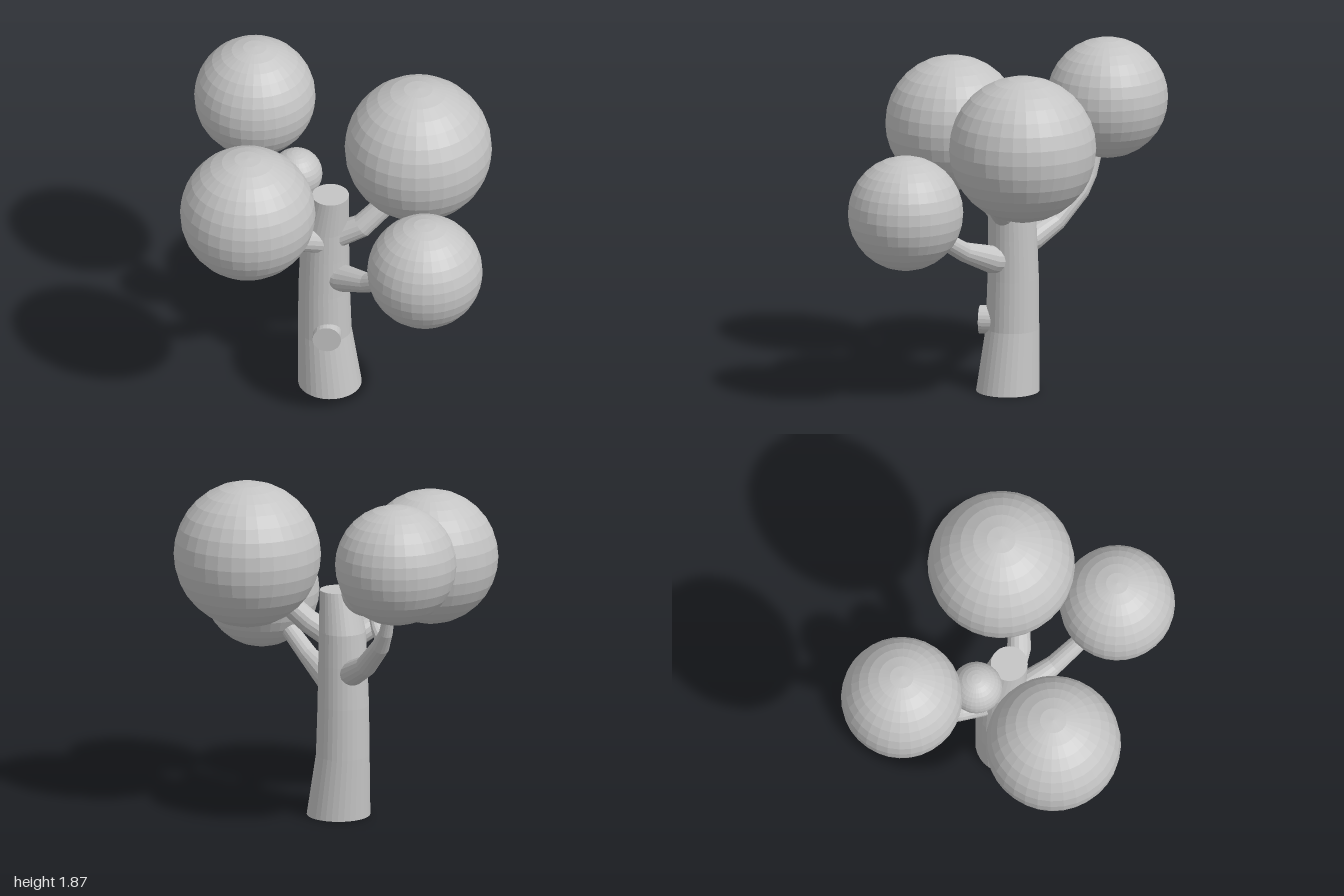
import * as THREE from 'three';

const bark = new THREE.MeshStandardMaterial({ name: 'plain grey', color: 0xc4c4c4, flatShading: true });
const UP = new THREE.Vector3(0, 1, 0);

// Lofted limb with capped ends; each ring is [x, y, z, radius]
function limb(name, rings, sides = 16, level = false) {
  const centres = rings.map(([x, y, z]) => new THREE.Vector3(x, y, z));
  const last = rings.length - 1;
  const side = level
    ? new THREE.Vector3(1, 0, 0)
    : new THREE.Vector3().crossVectors(UP, centres[last].clone().sub(centres[0])).normalize();
  const positions = [];
  const index = [];
  rings.forEach((ring, i) => {
    const a = centres[Math.max(i - 1, 0)];
    const b = centres[Math.min(i + 1, last)];
    const dir = level ? UP.clone() : b.clone().sub(a).normalize();
    const u = side.clone().addScaledVector(dir, -side.dot(dir)).normalize();
    const v = new THREE.Vector3().crossVectors(dir, u);
    for (let j = 0; j < sides; j++) {
      const t = (j / sides) * Math.PI * 2;
      const p = centres[i].clone()
        .addScaledVector(u, Math.cos(t) * ring[3])
        .addScaledVector(v, Math.sin(t) * ring[3]);
      positions.push(p.x, p.y, p.z);
    }
  });
  const start = positions.length / 3;
  positions.push(...centres[0].toArray(), ...centres[last].toArray());
  for (let j = 0; j < sides; j++) {
    const k = (j + 1) % sides;
    for (let i = 0; i < last; i++) {
      const a = i * sides + j, b = i * sides + k;
      index.push(a, b, b + sides, a, b + sides, a + sides);
    }
    index.push(start, k, j, start + 1, last * sides + j, last * sides + k);
  }
  const geometry = new THREE.BufferGeometry();
  geometry.setAttribute('position', new THREE.Float32BufferAttribute(positions, 3));
  geometry.setIndex(index);
  geometry.computeVertexNormals();
  const mesh = new THREE.Mesh(geometry, bark);
  mesh.name = name;
  return mesh;
}

// Round clump of leaves
function foliage(name, x, y, z, radius) {
  const mesh = new THREE.Mesh(new THREE.SphereGeometry(radius, 32, 16), bark);
  mesh.name = name;
  mesh.position.set(x, y, z);
  return mesh;
}

export function createModel() {
  const tree = new THREE.Group();
  tree.name = 'tree';

  // Trunk with a flared foot and a cut top
  tree.add(limb('trunk', [
    [-0.03, 0, -0.045, 0.172],
    [-0.065, 0.34, -0.04, 0.145],
    [-0.07, 0.62, -0.04, 0.139],
    [-0.066, 0.85, -0.04, 0.133],
    [-0.06, 1.03, -0.04, 0.127],
    [-0.02, 1.25, -0.04, 0.1],
  ], 32, true));

  // Sawn-off stub low on the trunk
  tree.add(limb('stub', [[-0.03, 0.385, -0.03, 0.077], [0.072, 0.385, 0.072, 0.077]], 24));

  // Branches
  tree.add(
    limb('leftBranch', [
      [-0.02, 0.73, -0.045, 0.077], [0.08, 0.743, -0.045, 0.075],
      [0.27, 0.815, -0.045, 0.053], [0.45, 0.925, -0.055, 0.047], [0.6, 1.04, -0.07, 0.04],
    ]),
    limb('rightBranch', [
      [-0.08, 0.8, -0.05, 0.075], [-0.19, 0.825, -0.055, 0.07], [-0.34, 0.9, -0.065, 0.058],
      [-0.5, 1.045, -0.075, 0.05], [-0.56, 1.13, -0.08, 0.038], [-0.62, 1.3, -0.085, 0.028],
    ]),
    limb('rightTwig', [
      [-0.52, 1.07, -0.075, 0.035], [-0.43, 1.12, -0.055, 0.03],
      [-0.36, 1.18, -0.03, 0.028], [-0.27, 1.27, -0.005, 0.025],
    ], 12),
    limb('frontBranch', [
      [-0.035, 0.97, 0.03, 0.066], [-0.05, 1.035, 0.16, 0.066], [-0.075, 1.2, 0.38, 0.055],
    ]),
    limb('backBranch', [
      [0, 0.98, -0.06, 0.07], [0.11, 1.06, -0.15, 0.065],
      [0.18, 1.19, -0.27, 0.06], [0.2, 1.36, -0.4, 0.05],
    ]),
  );

  // Leaf clumps
  tree.add(
    foliage('rightFoliage', -0.672, 1.54, -0.087, 0.328),
    foliage('frontFoliage', -0.08, 1.37, 0.512, 0.366),
    foliage('backFoliage', 0.2, 1.463, -0.482, 0.398),
    foliage('leftFoliage', 0.688, 1.1, -0.08, 0.312),
    foliage('smallFoliage', -0.25, 1.29, -0.003, 0.14),
  );
  return tree;
}
